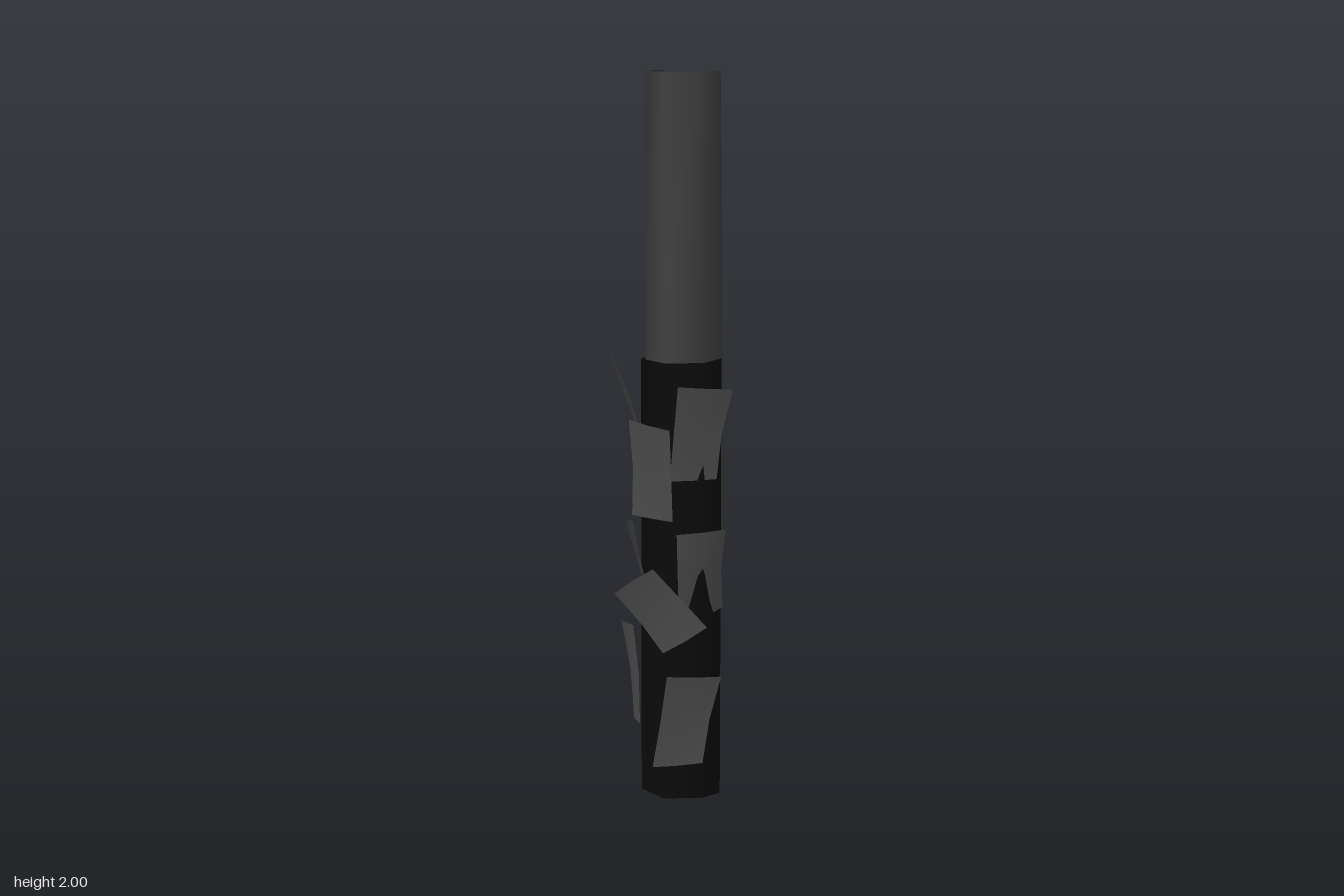
import * as THREE from 'three';

// Smooth surface through rows of points (rows run top to bottom, columns left to right seen from outside)
function sheet(name, rows, color) {
  const cols = rows[0].length, index = [];
  for (let r = 0; r < rows.length - 1; r++) {
    for (let c = 0; c < cols - 1; c++) {
      const a = r * cols + c, d = a + cols;
      index.push(a, d, a + 1, d, d + 1, a + 1);
    }
  }
  const geo = new THREE.BufferGeometry();
  geo.setAttribute('position', new THREE.Float32BufferAttribute(rows.flat(2), 3));
  geo.setIndex(index);
  geo.computeVertexNormals();
  const mesh = new THREE.Mesh(geo, new THREE.MeshStandardMaterial({ color, side: THREE.DoubleSide }));
  mesh.name = name;
  return mesh;
}

// Open-backed trunk section: back edge, side, front ridge, side, back edge
function section(y, sideX, backX, backZ, sideZ, frontZ, backY = y) {
  const cx = 0.022;
  return [
    [cx - backX, backY, backZ], [cx - sideX, y, sideZ], [cx, y, frontZ],
    [cx + sideX, y, sideZ], [cx + backX, backY, backZ],
  ];
}

// Bark flake from four corners, its middle row drawn slightly towards the trunk
function flake(name, tl, tr, bl, br) {
  const mix = (a, b, t) => a.map((v, i) => v + (b[i] - v) * t);
  const rows = [0, 0.5, 1].map((v) => [0, 0.5, 1].map((u) => {
    const p = mix(mix(tl, tr, u), mix(bl, br, u), v);
    const across = 1 + (u === 0.5 ? 0.08 : 0);
    const k = across * (v === 0.5 ? 0.94 : 1);
    return [0.02 + (p[0] - 0.02) * k, p[1], p[2] * k];
  }));
  return sheet(name, rows, 0x505050);
}

export function createModel() {
  const model = new THREE.Group();

  // Trunk shells, the upper one nested inside the lower
  model.add(sheet('upperTrunk', [
    section(2, 0.078, 0.085, -0.11, 0.015, 0.064),
    section(1.37, 0.08, 0.089, -0.12, 0.01, 0.054),
    section(0.74, 0.083, 0.093, -0.13, 0.003, 0.042),
  ], 0x424242));
  model.add(sheet('lowerTrunk', [
    section(1.23, 0.093, 0.101, -0.088, 0.012, 0.06),
    section(0.62, 0.093, 0.101, -0.088, 0.012, 0.06),
    section(0.015, 0.093, 0.101, -0.088, 0.012, 0.064, 0),
  ], 0x0b0b0b));

  // Peeling bark flakes: top left, top right, bottom left, bottom right
  const flakes = new THREE.Group();
  flakes.name = 'barkFlakes';
  flakes.add(
    flake('topRightFlake', [-0.195, 1.15, -0.115], [-0.16, 1.24, 0.015], [-0.085, 0.93, -0.05], [-0.045, 1.0, 0.045]),
    flake('topLeftFlake', [0.08, 1.175, 0.1], [0.19, 1.16, -0.013], [0.04, 0.91, 0.065], [0.14, 0.91, -0.02]),
    flake('topFrontFlake', [-0.085, 1.07, 0.06], [0.065, 1.06, 0.12], [-0.09, 0.8, 0.03], [0.05, 0.8, 0.068]),
    flake('middleRightFlake', [-0.155, 0.75, -0.105], [-0.11, 0.78, 0.03], [-0.085, 0.5, -0.06], [-0.02, 0.57, 0.055]),
    flake('middleLeftFlake', [0.07, 0.77, 0.085], [0.17, 0.775, -0.015], [0.06, 0.5, 0.045], [0.135, 0.54, -0.075]),
    flake('middleFrontFlake', [-0.105, 0.595, 0.11], [0.02, 0.68, 0.13], [0.02, 0.43, 0.066], [0.14, 0.51, 0.04]),
    flake('lowRightFlake', [-0.165, 0.48, -0.05], [-0.085, 0.49, 0.035], [-0.125, 0.21, -0.05], [-0.065, 0.21, 0.035]),
    flake('lowLeftFlake', [0.055, 0.38, 0.115], [0.165, 0.365, 0], [0, 0.11, 0.09], [0.115, 0.115, 0.012]),
  );
  model.add(flakes);
  return model;
}
